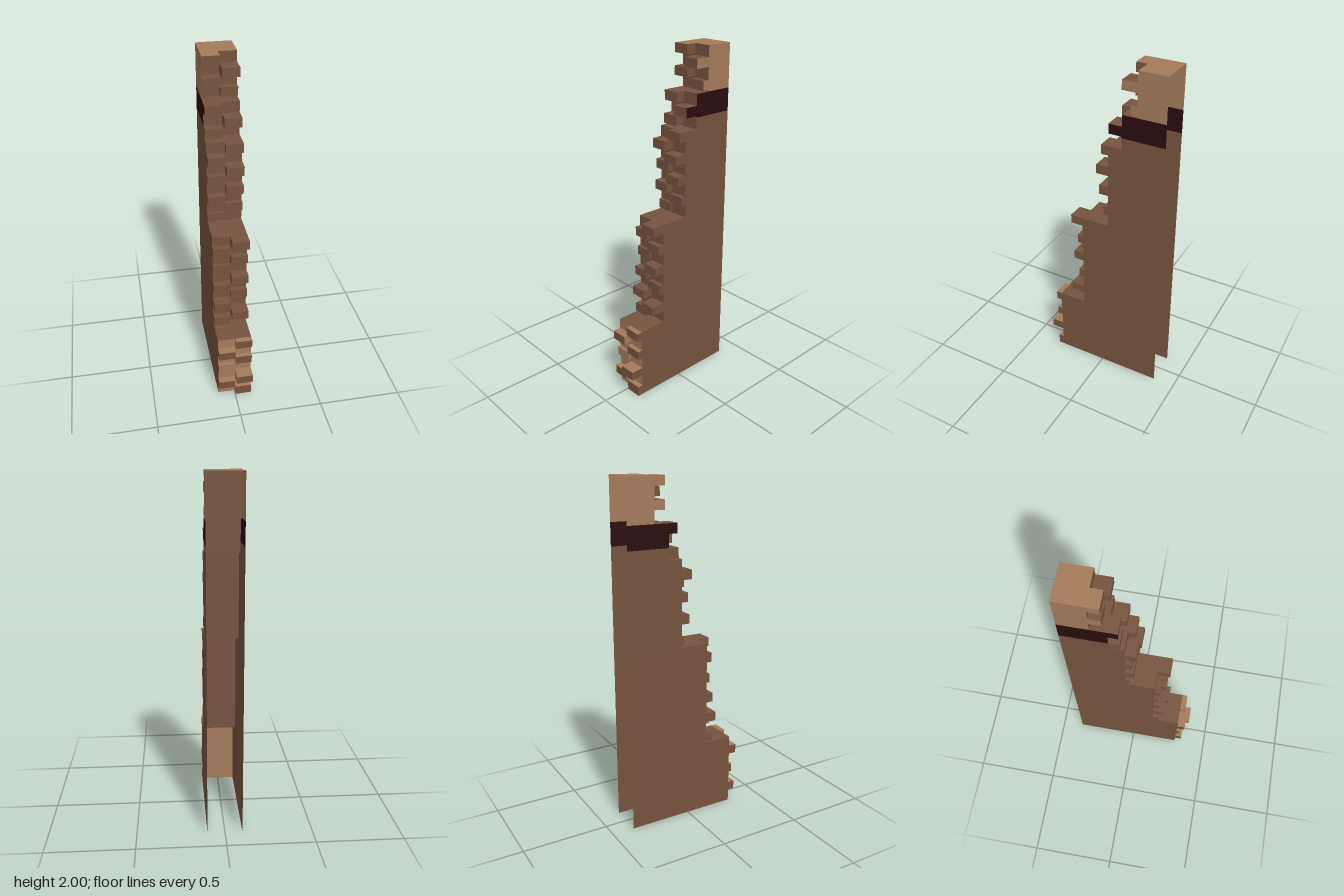
import * as THREE from 'three';

const BACK = -0.37, HALF = 0.1, GAP = 0.009;

export function createModel() {
  const mat = (name, color) => {
    const m = new THREE.MeshStandardMaterial({ color, side: THREE.DoubleSide });
    m.name = name;
    return m;
  };
  const brown = mat('brown brick', 0x77533f);
  const tan = mat('tan stone', 0xa57b5b);
  const dark = mat('dark band', 0x2a0c0f);

  // Stages from the top down. "front" is the wall face; "bricks" gives how far
  // each row's brick reaches, one per row, alternating between the two columns.
  const stages = [
    { name: 'top', y0: 1.753, y1: 2, front: -0.208, wall: brown, roof: tan,
      outer: () => tan, bricks: [-0.145, -0.12, -0.145, -0.17] },
    { name: 'band', y0: 1.557, y1: 1.753, front: -0.123, wall: brown, roof: brown,
      outer: (row) => (row < 2 ? dark : brown), bricks: [-0.07, -0.045, -0.065] },
    { name: 'upper', y0: 1.056, y1: 1.557, front: -0.042, wall: brown, roof: brown,
      outer: () => brown, bricks: [0, 0.02, 0.03, -0.005, 0.015, 0.005, -0.015, -0.025] },
    { name: 'middle', y0: 0.433, y1: 1.056, front: 0.125, wall: brown, roof: brown,
      outer: () => brown,
      bricks: [0.2, 0.158, 0.16, 0.145, 0.187, 0.168, 0.155, 0.19, 0.21, 0.168] },
    { name: 'base', y0: 0, y1: 0.433, front: 0.295, wall: tan, roof: brown,
      outer: () => brown, bricks: [0.328, 0.343, 0.325, 0.315, 0.37, 0.335, 0.328] },
  ];

  const model = new THREE.Group();
  model.name = 'steppedButtress';

  const add = (parent, name, geometry, material) => {
    const mesh = new THREE.Mesh(geometry, material);
    mesh.name = name;
    parent.add(mesh);
    return mesh;
  };

  let rowCount = 0;
  let prevFront = BACK;
  for (const s of stages) {
    const group = new THREE.Group();
    group.name = s.name + 'Stage';
    model.add(group);
    const n = s.bricks.length, pitch = (s.y1 - s.y0) / n;

    // Front wall
    add(group, 'frontWall', new THREE.PlaneGeometry(2 * HALF, s.y1 - s.y0), s.wall)
      .position.set(0, (s.y0 + s.y1) / 2, s.front);

    // Ledge or roof over this stage
    add(group, 'ledge',
      new THREE.PlaneGeometry(2 * HALF, s.front - prevFront).rotateX(-Math.PI / 2), s.roof)
      .position.set(0, s.y1, (s.front + prevFront) / 2);
    prevFront = s.front;

    s.bricks.forEach((reach, row) => {
      const top = s.y1 - row * pitch;

      // Thin side panels, open at the back and bottom
      for (const side of [-1, 1]) {
        add(group, 'sidePanel',
          new THREE.PlaneGeometry(s.front - BACK, pitch).rotateY(side * Math.PI / 2), s.outer(row))
          .position.set(side * HALF, top - pitch / 2, (s.front + BACK) / 2);
      }

      // Protruding brick, left and right columns in turn
      const side = rowCount++ % 2 ? 1 : -1;
      const isBase = s.name === 'base';
      const height = isBase && row === n - 1 ? pitch : pitch - GAP;
      const width = HALF - 0.003;
      const outer = s.outer(row);
      const roof = s.name === 'top' && row === 0 ? tan : s.wall;
      const face = isBase && row === 3 ? tan : brown;
      add(group, 'brick', new THREE.BoxGeometry(width, height, reach - s.front), [
        side > 0 ? outer : s.wall,
        side > 0 ? s.wall : outer,
        roof, s.wall, face, s.wall,
      ]).position.set(side * (HALF - width / 2), top - height / 2, (reach + s.front) / 2);
    });
  }
  return model;
}
